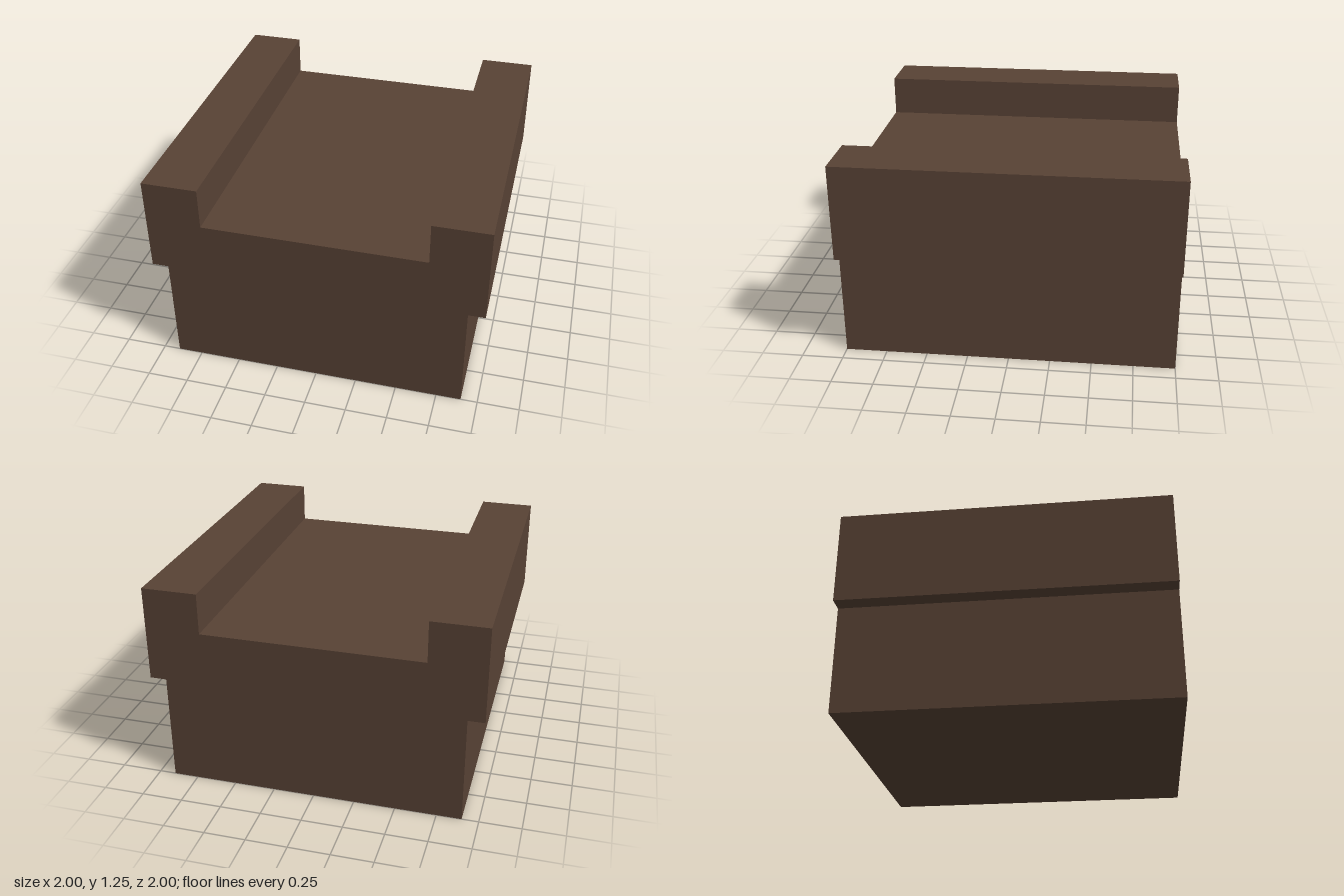
import * as THREE from 'three';

export function createModel() {
  const model = new THREE.Group();
  model.name = 'channelBlock';
  const brown = new THREE.MeshStandardMaterial({ color: 0x584235 });
  brown.name = 'dark brown';

  // Right half of the outline: foot, overhanging side, raised rail, channel floor
  const half = [[0.9, 0], [0.9, 0.67], [1, 0.67], [1, 1.25], [0.665, 1.25], [0.665, 1]];
  const mirrored = half.map(([x, y]) => [-x, y]).reverse();
  const outline = new THREE.Shape([...half, ...mirrored].map(([x, y]) => new THREE.Vector2(x, y)));

  // One solid block, running the full depth
  const geometry = new THREE.ExtrudeGeometry(outline, { depth: 2, bevelEnabled: false });
  geometry.translate(0, 0, -1);
  const block = new THREE.Mesh(geometry, brown);
  block.name = 'railedBlock';
  model.add(block);
  return model;
}
